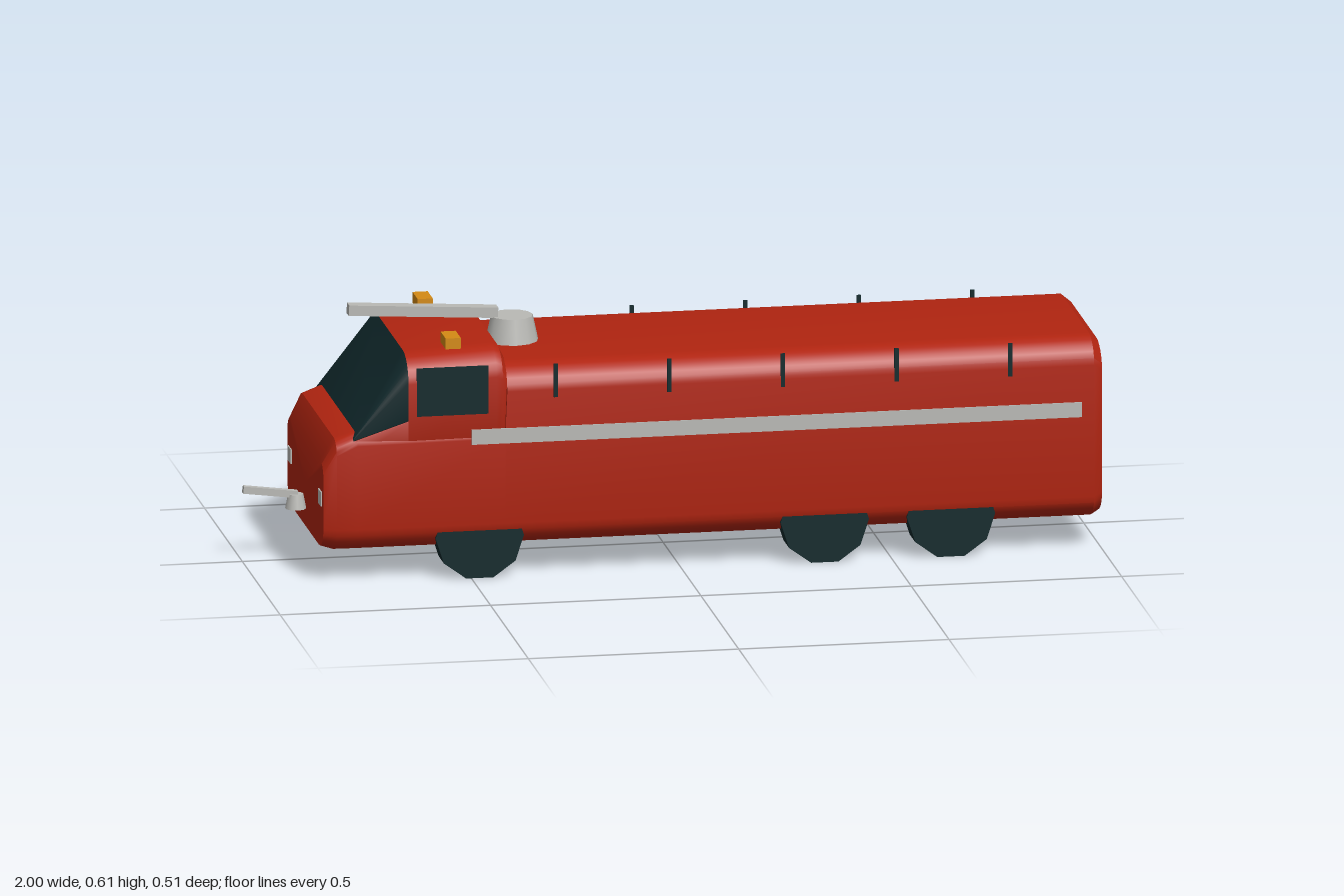
import * as THREE from 'three';
import { toCreasedNormals } from 'three/addons/utils/BufferGeometryUtils.js';

const mat = (name, color) => {
  const m = new THREE.MeshStandardMaterial({ color });
  m.name = name;
  return m;
};

// Rounded rectangle in the z/y plane: half width w, top corner height rt, bottom corner height rb
function section([x, y0, y1, w, rt, rb]) {
  const pts = [];
  const corners = [[1, y1, -1, rt], [-1, y1, -1, rt], [-1, y0, 1, rb], [1, y0, 1, rb]];
  corners.forEach(([sz, y, dir, r], c) => {
    const rz = r * 1.25, cz = sz * (w - rz), cy = y + dir * r;
    for (let k = 0; k <= 6; k++) {
      const a = (c + k / 6) * Math.PI / 2;
      pts.push([x, cy + r * Math.sin(a), cz + rz * Math.cos(a)]);
    }
  });
  return pts;
}

// Skin a row of sections along +x and close both ends
function loft(rows, crease = 0.5) {
  const rings = rows.map(section), n = rings[0].length, pos = [];
  const tri = (a, b, c) => pos.push(...a, ...b, ...c);
  for (let i = 0; i < rings.length - 1; i++) {
    for (let j = 0; j < n; j++) {
      const k = (j + 1) % n;
      tri(rings[i][j], rings[i + 1][j], rings[i + 1][k]);
      tri(rings[i][j], rings[i + 1][k], rings[i][k]);
    }
  }
  const mid = (r) => [r[0], (r[1] + r[2]) / 2, 0];
  const first = rings[0], last = rings[rings.length - 1];
  const cf = mid(rows[0]), cl = mid(rows[rows.length - 1]);
  for (let j = 0; j < n; j++) {
    const k = (j + 1) % n;
    tri(cf, first[j], first[k]);
    tri(cl, last[k], last[j]);
  }
  const g = new THREE.BufferGeometry();
  g.setAttribute('position', new THREE.Float32BufferAttribute(pos, 3));
  return toCreasedNormals(g, crease);
}

export function createModel() {
  const red = mat('red paint', 0xb02410);
  const dark = mat('dark glass and rubber', 0x10282b);
  const silver = mat('silver', 0xb9b9b5);
  const amber = mat('amber', 0xd48a14);

  const root = new THREE.Group();
  root.name = 'fireTruck';
  const add = (name, geo, m, x = 0, y = 0, z = 0) => {
    const mesh = new THREE.Mesh(geo, m);
    mesh.name = name;
    mesh.position.set(x, y, z);
    root.add(mesh);
    return mesh;
  };
  const box = (name, m, w, h, d, x, y, z) => add(name, new THREE.BoxGeometry(w, h, d), m, x, y, z);

  // Hull: low nose, then the tall tank body
  add('body', loft([
    [-0.85, 0.08, 0.29, 0.237, 0.035, 0.05],
    [-0.82, 0.07, 0.345, 0.248, 0.035, 0.06],
    [-0.77, 0.07, 0.362, 0.25, 0.03, 0.06],
    [-0.42, 0.07, 0.365, 0.25, 0.03, 0.06],
    [-0.415, 0.07, 0.508, 0.25, 0.06, 0.06],
    [0.98, 0.07, 0.508, 0.25, 0.06, 0.06],
    [1.0, 0.08, 0.492, 0.242, 0.06, 0.06],
  ]), red);

  // Cab: sill under the windscreen, red shell and dark wrap-around glass
  add('windscreenSill', loft([
    [-0.775, 0.3, 0.345, 0.247, 0.002, 0.002],
    [-0.65, 0.3, 0.387, 0.249, 0.002, 0.002],
  ]), red);
  add('cab', loft([
    [-0.65, 0.3, 0.54, 0.249, 0.065, 0.002],
    [-0.44, 0.3, 0.549, 0.249, 0.065, 0.002],
    [-0.425, 0.3, 0.543, 0.248, 0.065, 0.002],
    [-0.415, 0.3, 0.522, 0.245, 0.06, 0.002],
  ]), red);
  add('windscreen', loft([
    [-0.78, 0.343, 0.35, 0.247, 0.002, 0.002],
    [-0.65, 0.386, 0.54, 0.249, 0.06, 0.002],
  ]), dark);

  // Two small nose lamps, roof beacons and everything mirrored on the flanks
  for (const s of [1, -1]) {
    const side = s > 0 ? 'Front' : 'Back';
    box('sideWindow' + side, dark, 0.17, 0.115, 0.008, -0.545, 0.455, s * 0.2475);
    box('stripe' + side, silver, 1.45, 0.036, 0.005, 0.225, 0.342, s * 0.2505);
    box('beacon' + side, amber, 0.036, 0.026, 0.068, -0.538, 0.562, s * 0.185);
    box('noseLamp' + side, silver, 0.004, 0.035, 0.04, -0.851, 0.2, s * 0.2);
    for (let i = 0; i < 5; i++) {
      box('sideSlat' + side, dark, 0.01, 0.08, 0.005, -0.3 + i * 0.27, 0.47, s * 0.2495);
    }
    for (const x of [-0.48, 0.34, 0.64]) {
      const geo = new THREE.CylinderGeometry(0.105, 0.105, 0.073, 10);
      geo.rotateY(Math.PI / 2).rotateX(Math.PI / 2);
      add('wheel' + side, toCreasedNormals(geo, 0.7), dark, x, 0.1, s * 0.211);
    }
  }

  // Roof water cannon
  add('cannonBase', new THREE.CylinderGeometry(0.05, 0.064, 0.065, 12), silver, -0.36, 0.535, 0);
  box('cannonBarrel', silver, 0.355, 0.025, 0.03, -0.572, 0.588, 0).rotation.z = -0.06;

  // Nose water cannon
  add('noseCannonBase', new THREE.CylinderGeometry(0.018, 0.025, 0.035, 10), silver, -0.873, 0.141, 0);
  box('noseCannonBarrel', silver, 0.13, 0.017, 0.016, -0.934, 0.166, 0).rotation.z = -0.13;

  return root;
}
